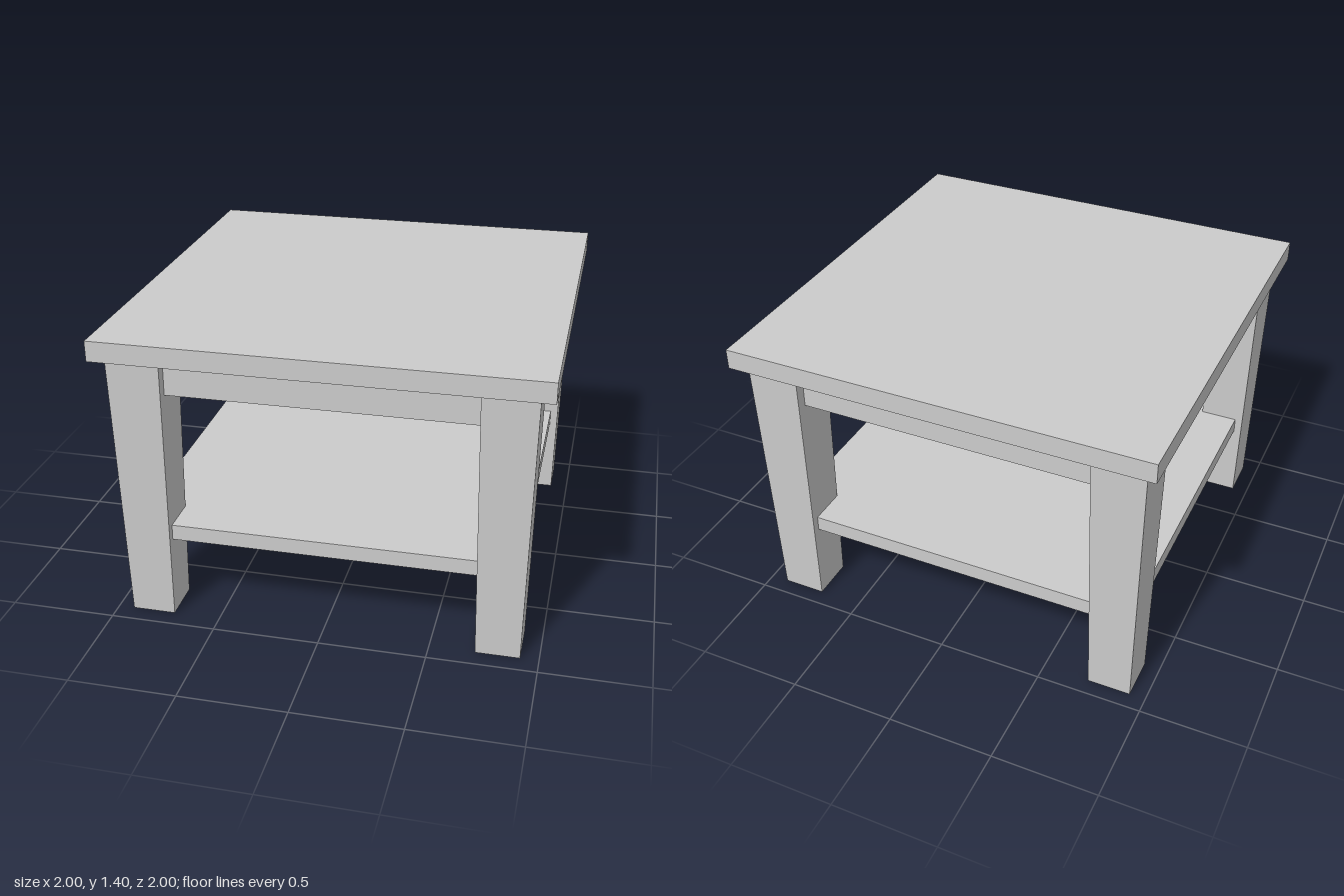
import * as THREE from 'three';

const material = new THREE.MeshStandardMaterial({ color: 0xcccccc, flatShading: true });

// Square block between two heights, with its own half-width at bottom and top
function block(name, y0, y1, halfBottom, halfTop) {
  const geo = new THREE.BoxGeometry(2, y1 - y0, 2);
  geo.translate(0, (y0 + y1) / 2, 0);
  const pos = geo.attributes.position;
  for (let i = 0; i < pos.count; i++) {
    const half = pos.getY(i) > (y0 + y1) / 2 ? halfTop : halfBottom;
    pos.setX(i, pos.getX(i) * half);
    pos.setZ(i, pos.getZ(i) * half);
  }
  geo.computeVertexNormals();
  const mesh = new THREE.Mesh(geo, material);
  mesh.name = name;
  return mesh;
}

export function createModel() {
  const table = new THREE.Group();
  table.name = 'sideTable';

  // Top slab with a very shallow sloping underside
  table.add(block('tableTop', 1.305, 1.4, 1, 1));
  table.add(block('topUnderside', 1.295, 1.305, 0.89, 1));

  // Base sits a touch off centre under the top
  const base = new THREE.Group();
  base.name = 'base';
  base.position.set(-0.005, 0, -0.005);
  table.add(base);

  // Apron block, its bottom easing slightly downward
  base.add(block('apron', 1.125, 1.296, 0.89, 0.89));
  base.add(block('apronUnderside', 1.119, 1.125, 0.68, 0.89));

  // Lower shelf
  base.add(block('shelf', 0.39, 0.465, 0.89, 0.89));

  // Four tapered legs
  for (const x of [-1, 1]) {
    for (const z of [-1, 1]) {
      const leg = block(`${z > 0 ? 'front' : 'back'}${x > 0 ? 'Left' : 'Right'}Leg`, 0, 1.303, 0.102, 0.123);
      leg.position.set(x * 0.818, 0, z * 0.818);
      base.add(leg);
    }
  }
  return table;
}
